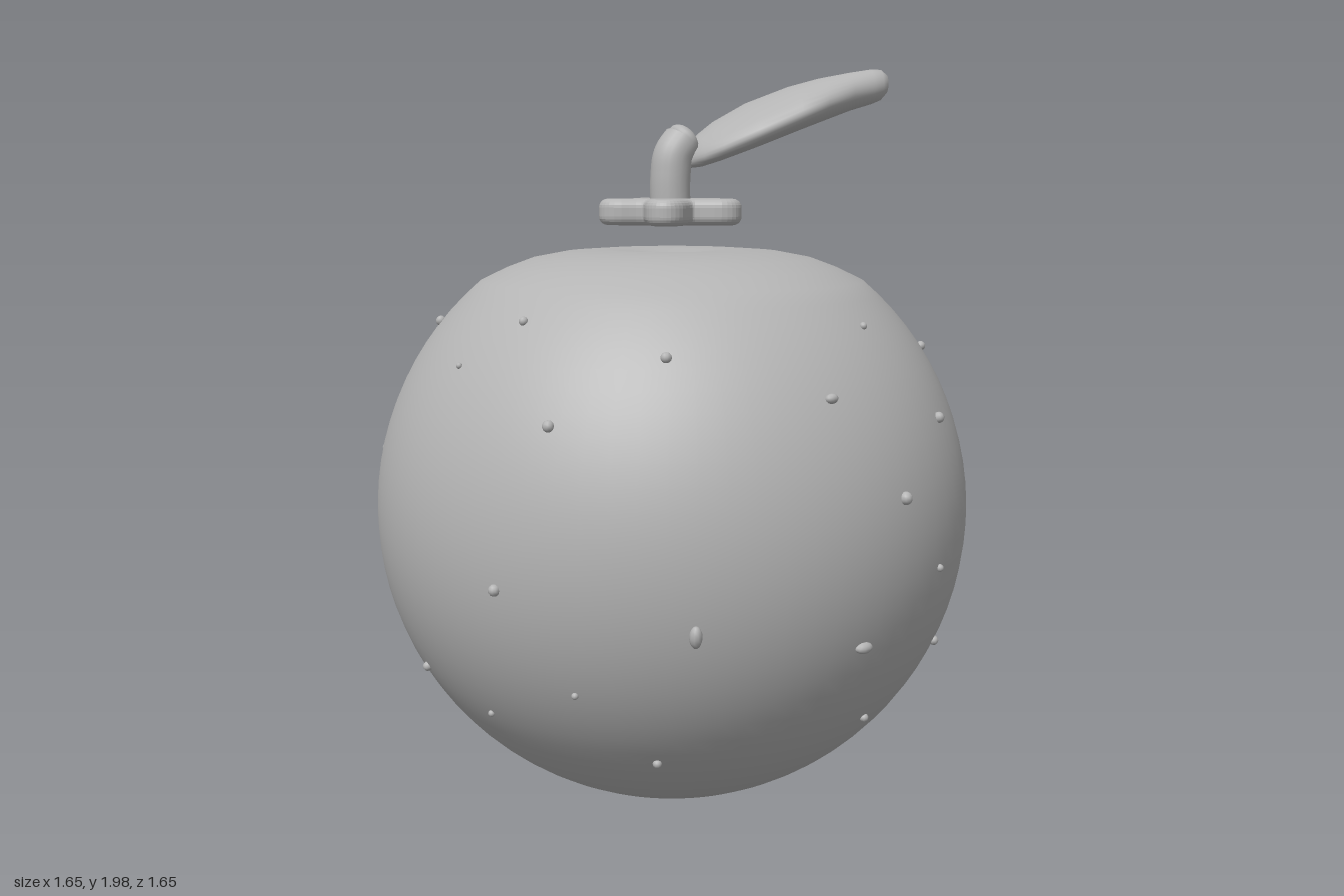
import * as THREE from 'three';

const R = 0.828, CY = 0.78;

export function createModel() {
  const group = new THREE.Group();
  const grey = new THREE.MeshStandardMaterial({ color: 0xb4b4b4 });
  grey.name = 'plain grey';
  const add = (name, geometry, parent = group) => {
    const mesh = new THREE.Mesh(geometry, grey);
    mesh.name = name;
    parent.add(mesh);
    return mesh;
  };

  // Round fruit: a sphere profile with a flattened base and a shallow dimpled crown
  const profile = [[0, 0.01], [0.12, 0.014], [0.24, 0.03]];
  for (let a = -66; a <= 50; a += 4) {
    const t = THREE.MathUtils.degToRad(a);
    profile.push([R * Math.cos(t), CY + R * Math.sin(t)]);
  }
  profile.push([0.46, 1.449], [0.39, 1.475], [0.3, 1.492], [0.2, 1.499], [0.12, 1.495], [0.05, 1.485], [0, 1.482]);
  add('fruitBody', new THREE.LatheGeometry(profile.map(p => new THREE.Vector2(...p)), 72));

  // Puffy five-pointed calyx
  const tips = [];
  for (let i = 0; i < 5; i++) {
    const a = Math.PI / 2 + i * Math.PI * 2 / 5;
    const at = (r, off) => new THREE.Vector2(r * Math.cos(a + off), r * Math.sin(a + off));
    tips.push(at(0.163, -0.17), at(0.18, 0), at(0.163, 0.17), at(0.093, Math.PI / 5));
  }
  const star = new THREE.Shape(new THREE.SplineCurve([...tips, tips[0]]).getPoints(100).slice(0, -1));
  const calyx = new THREE.ExtrudeGeometry(star, {
    depth: 0.024, bevelThickness: 0.024, bevelSize: 0.024, bevelSegments: 5, curveSegments: 1
  });
  calyx.rotateX(-Math.PI / 2);
  add('calyx', calyx).position.y = 1.59;

  // Stem bending toward the leaf, with rounded end
  const path = new THREE.CatmullRomCurve3([[-0.005, 1.6, 0], [-0.005, 1.7, 0], [0.004, 1.755, 0], [0.035, 1.795, 0]]
    .map(p => new THREE.Vector3(...p)));
  add('stem', new THREE.TubeGeometry(path, 20, 0.056, 20));
  const end = add('stemEnd', new THREE.SphereGeometry(0.056, 20, 14));
  end.position.set(0.035, 1.795, 0);
  end.scale.set(0.55, 0.9, 1);
  end.rotation.z = 0.6;

  // Thick leaf lofted along its midrib: x, z, half width, half thickness
  const sections = [
    [0.045, 0.0, 0.004, 0.004], [0.055, 0.0, 0.045, 0.03], [0.085, 0.008, 0.085, 0.042],
    [0.13, 0.023, 0.12, 0.05], [0.215, 0.06, 0.153, 0.058], [0.32, 0.112, 0.148, 0.06],
    [0.39, 0.147, 0.116, 0.058], [0.47, 0.175, 0.068, 0.052], [0.53, 0.193, 0.049, 0.048],
    [0.558, 0.2, 0.042, 0.042], [0.575, 0.205, 0.026, 0.026], [0.58, 0.207, 0.002, 0.002]
  ];
  const rise = x => 1.75 + 0.61 * (x - 0.05) - 0.42 * (x - 0.05) ** 2;
  const sides = 32, verts = [], faces = [];
  sections.forEach(([x, z, w, h], i) => {
    for (let j = 0; j < sides; j++) {
      const a = j / sides * Math.PI * 2;
      const px = x - 0.36 * w * Math.cos(a);
      verts.push(px, rise(px) + h * Math.sin(a), z + 0.93 * w * Math.cos(a));
      if (i) {
        const k = (j + 1) % sides, p = (i - 1) * sides, q = i * sides;
        faces.push(p + j, p + k, q + j, p + k, q + k, q + j);
      }
    }
  });
  const leaf = new THREE.BufferGeometry();
  leaf.setAttribute('position', new THREE.Float32BufferAttribute(verts, 3));
  // Wind the loft outward
  for (let i = 0; i < faces.length; i += 3) [faces[i + 1], faces[i + 2]] = [faces[i + 2], faces[i + 1]];
  leaf.setIndex(faces);
  if (volume(verts, faces) < 0) leaf.setIndex(faces.reverse());
  leaf.computeVertexNormals();
  add('leaf', leaf);

  // Skin pimples, laid out on each side: across, up, size, optional wide/tall stretch
  const pimples = new THREE.Group();
  pimples.name = 'skinPimples';
  group.add(pimples);
  const bump = new THREE.SphereGeometry(1, 10, 8);
  const patches = [
    { azimuth: 0, elevation: 0, spots: [ // front
      [-0.34, 0.49, 0.014], [-0.56, 0.56, 0.012], [0.23, 0.54, 0.01], [0.03, 0.385, 0.014, 1.3, 0.9],
      [-0.6, 0.33, 0.015], [0.44, 0.295, 0.015], [0.22, 0.13, 0.017], [0.59, 0.45, 0.013], [0.38, -0.08, 0.01],
      [-0.72, -0.07, 0.015], [-0.35, -0.155, 0.018, 0.9, 1.6], [0.1, -0.235, 0.016, 1.7, 0.9],
      [0.49, -0.33, 0.013], [0.22, -0.485, 0.012], [-0.34, -0.54, 0.012], [-0.56, -0.33, 0.009], [-0.66, -0.445, 0.009]] },
    { azimuth: 90, elevation: 0, spots: [ // left of the model
      [-0.03, 0.355, 0.015], [0.19, 0.5, 0.013], [0.4, 0.25, 0.016], [-0.33, 0.19, 0.012], [0.34, -0.135, 0.016],
      [0.44, -0.385, 0.012], [0.18, -0.545, 0.009], [0.55, 0.4, 0.008], [0.6, 0.02, 0.006], [0.66, -0.22, 0.005]] },
    { azimuth: 215, elevation: 28, spots: [ // upper back
      [-0.515, 0.33, 0.016, 1.6, 0.9], [-0.285, 0.12, 0.008], [0.135, -0.02, 0.01], [-0.155, -0.18, 0.005],
      [0.335, 0.205, 0.014], [0.33, -0.215, 0.013], [-0.65, -0.305, 0.016], [0.075, -0.39, 0.006],
      [0.585, -0.545, 0.013], [0.635, 0.255, 0.008], [0.33, -0.725, 0.012], [-0.465, -0.575, 0.008]] },
    { azimuth: 145, elevation: -28, spots: [[0.47, 0, 0.006]] } // lower back
  ];
  for (const { azimuth, elevation, spots } of patches) {
    const turn = new THREE.Euler(-THREE.MathUtils.degToRad(elevation), THREE.MathUtils.degToRad(azimuth), 0, 'YXZ');
    for (const [x, y, s, wide = 1, tall = 1] of spots) {
      const m = add('pimple', bump, pimples);
      const out = new THREE.Vector3(x, y, Math.sqrt(Math.max(0, R * R - x * x - y * y))).applyEuler(turn).setLength(R + 0.002);
      m.position.copy(out);
      m.position.y += CY;
      m.lookAt(out.multiplyScalar(2).add(new THREE.Vector3(0, CY, 0)));
      m.scale.set(s * wide, s * tall, s);
    }
  }
  return group;
}

// Signed volume of a closed triangle surface
function volume(v, f) {
  const p = i => new THREE.Vector3(v[3 * i], v[3 * i + 1], v[3 * i + 2]);
  let sum = 0;
  for (let i = 0; i < f.length; i += 3) sum += p(f[i]).dot(p(f[i + 1]).cross(p(f[i + 2])));
  return sum;
}
